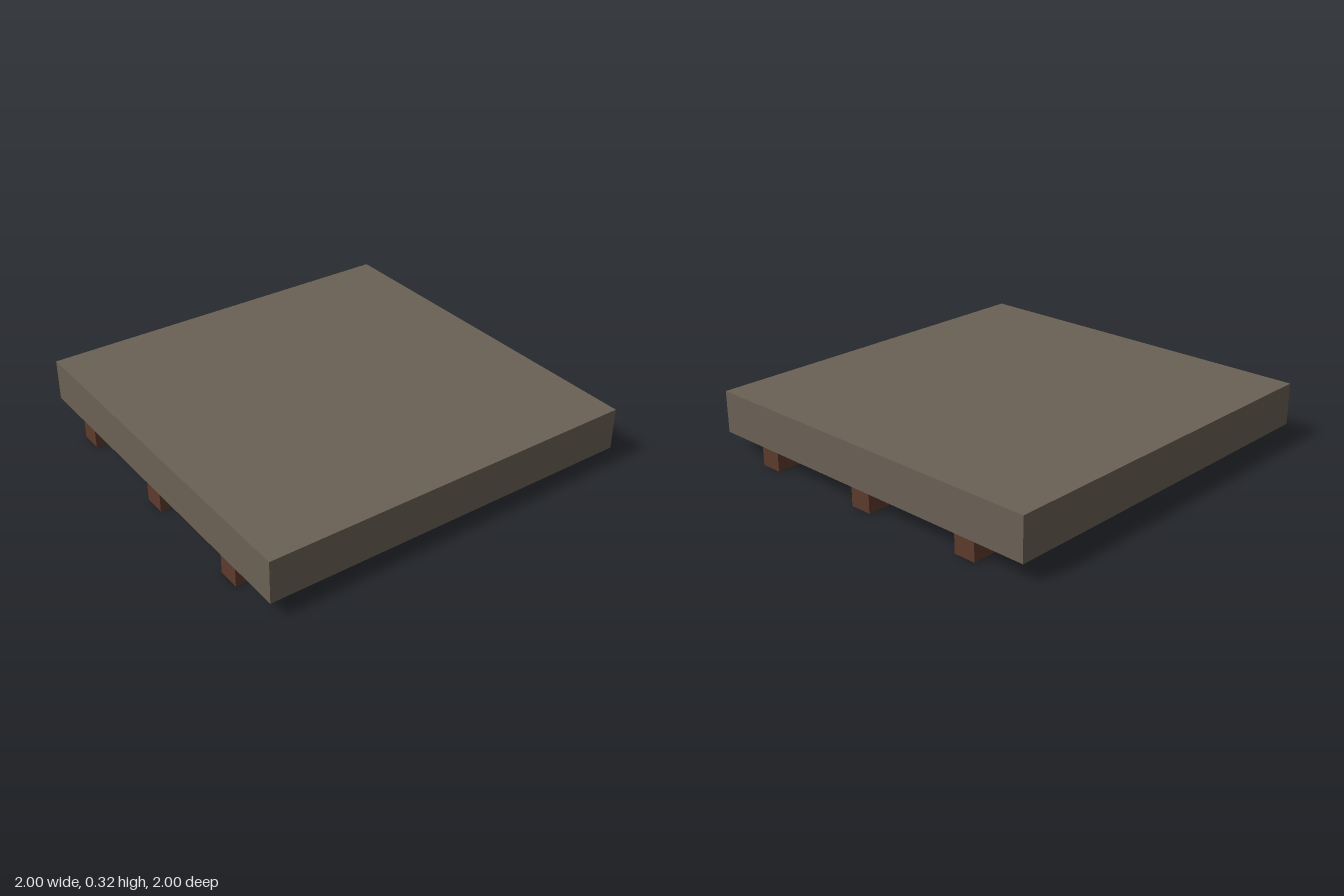
import * as THREE from 'three';

export function createModel() {
  const model = new THREE.Group();
  const material = (name, color) => {
    const m = new THREE.MeshStandardMaterial({ color });
    m.name = name;
    return m;
  };
  const stone = material('grey brown stone', 0x6a6154);
  const darkWood = material('dark wood', 0x5d3a2c);
  const lightWood = material('light wood', 0x80562f);

  // Box given by its size, its underside height and its centre in plan
  const box = (name, mat, [w, h, d], x, bottom, z) => {
    const mesh = new THREE.Mesh(new THREE.BoxGeometry(w, h, d), mat);
    mesh.name = name;
    mesh.position.set(x, bottom + h / 2, z);
    model.add(mesh);
  };

  const beamHeight = 0.097;

  // Thick floor slab
  box('slab', stone, [2, 0.22, 2], 0, beamHeight, 0);

  // Three beams running from side to side
  [['frontBeam', 0.665], ['middleBeam', 0], ['backBeam', -0.665]].forEach(([name, z]) =>
    box(name, darkWood, [2, beamHeight, 0.118], 0, 0, z));

  // Two shallow planks running front to back under the slab
  [['leftPlank', 0.33], ['rightPlank', -0.33]].forEach(([name, x]) =>
    box(name, lightWood, [0.14, 0.027, 1.9], x, 0.07, 0));

  return model;
}
